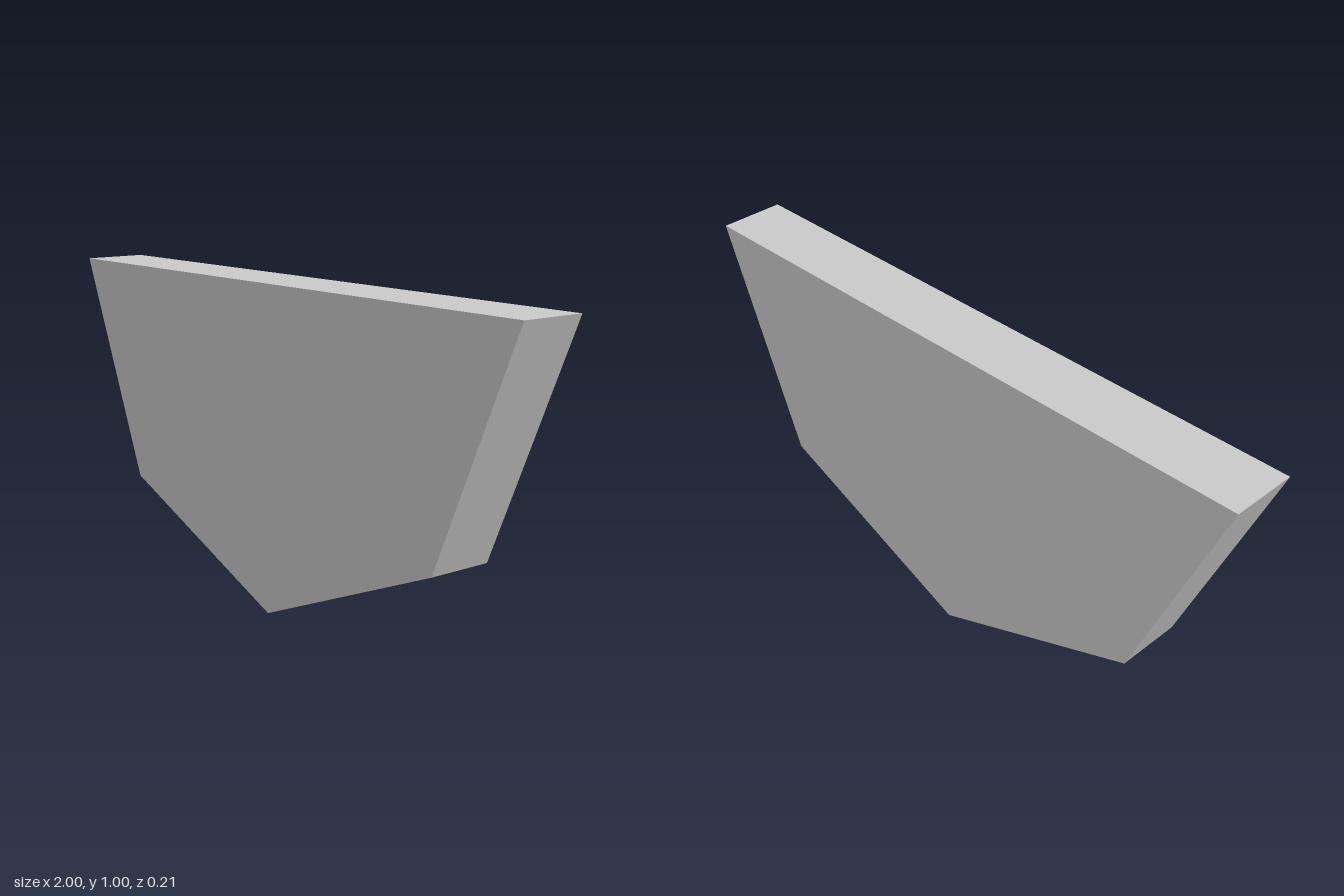
import * as THREE from 'three';

const RADIUS = 1;
const DEPTH = 0.206;
const SIDES = 4;

export function createModel() {
  const group = new THREE.Group();
  group.name = 'halfOctagonBlock';

  // Lower half of an octagon: flat edge on top, one corner on the ground
  const corners = [];
  for (let i = 0; i <= SIDES; i++) {
    const a = Math.PI + (i / SIDES) * Math.PI;
    corners.push(new THREE.Vector2(RADIUS * Math.cos(a), RADIUS + RADIUS * Math.sin(a)));
  }

  // Solid slab, centred front to back
  const geometry = new THREE.ExtrudeGeometry(new THREE.Shape(corners), {
    depth: DEPTH,
    bevelEnabled: false,
  });
  geometry.translate(0, 0, -DEPTH / 2);

  const material = new THREE.MeshStandardMaterial({ color: 0xcccccc, flatShading: true });
  const slab = new THREE.Mesh(geometry, material);
  slab.name = 'slab';
  group.add(slab);
  return group;
}
